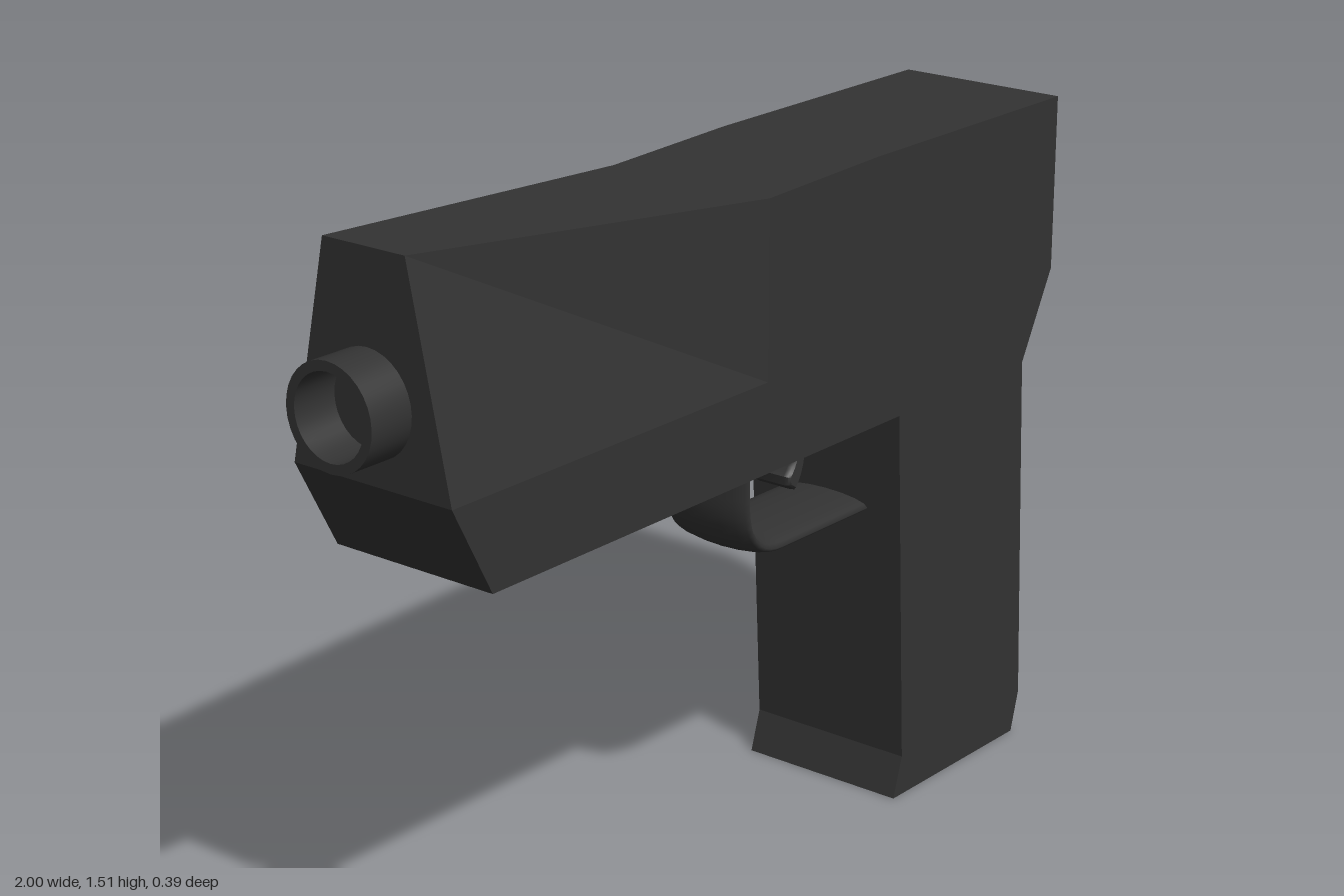
import * as THREE from 'three';
import { toCreasedNormals } from 'three/addons/utils/BufferGeometryUtils.js';

const HALF = 0.195; // half thickness of the body
const material = new THREE.MeshStandardMaterial({ color: 0x333333 });

function addPart(group, name, geometry) {
  const mesh = new THREE.Mesh(geometry, material);
  mesh.name = name;
  group.add(mesh);
  return mesh;
}

// Body outline, counter-clockwise; a third value narrows the body at that corner.
const outline = [
  [-0.9, 1.515, 0.1], [-0.9, 1.07], [-0.8, 0.88], [0.445, 0.88],
  [0.485, 0.09], [0.457, 0], [0.91, 0], [0.935, 0.09],
  [0.9, 0.88], [1, 1.07], [1, 1.45], [0.35, 1.45], [0, 1.44],
];
const taperCorner = [0, 1.07]; // point on each flank where the taper begins

function bodyGeometry() {
  const points = [...outline, taperCorner];
  const positions = [];
  const corner = (i, side) => [points[i][0], points[i][1], side * (points[i][2] ?? HALF)];
  const tri = (a, b, c) => positions.push(...a, ...b, ...c);

  // walls around the outline
  const n = outline.length;
  for (let i = 0; i < n; i++) {
    const j = (i + 1) % n;
    tri(corner(i, 1), corner(i, -1), corner(j, -1));
    tri(corner(i, 1), corner(j, -1), corner(j, 1));
  }

  // flat flank, then the two facets of the tapered nose
  const flank = points.slice(1).map(([x, y]) => new THREE.Vector2(x, y));
  const faces = THREE.ShapeUtils.triangulateShape(flank, []).map((f) => f.map((i) => i + 1));
  faces.push([0, 13, 12], [0, 1, 13]);
  for (const [a, b, c] of faces) {
    tri(corner(a, 1), corner(b, 1), corner(c, 1));
    tri(corner(c, -1), corner(b, -1), corner(a, -1));
  }

  const geometry = new THREE.BufferGeometry();
  geometry.setAttribute('position', new THREE.Float32BufferAttribute(positions, 3));
  geometry.computeVertexNormals();
  return geometry;
}

// Hollow barrel end, turned around the x axis
function barrelGeometry() {
  const profile = [[0.105, -0.06], [0.105, 0.05], [0.085, 0.05], [0.085, -0.06]]
    .map(([r, y]) => new THREE.Vector2(r, y));
  return toCreasedNormals(new THREE.LatheGeometry(profile, 32).rotateZ(Math.PI / 2), 0.6);
}

// Rounded band that leaves the frame and turns back to the grip
function guardGeometry() {
  const v = (x, y) => new THREE.Vector3(x, y, 0);
  const path = new THREE.CurvePath();
  path.add(new THREE.LineCurve3(v(0.055, 0.9), v(0.055, 0.78)));
  path.add(new THREE.CubicBezierCurve3(v(0.055, 0.78), v(0.055, 0.7), v(0.09, 0.655), v(0.17, 0.655)));
  path.add(new THREE.LineCurve3(v(0.17, 0.655), v(0.48, 0.653)));
  return new THREE.TubeGeometry(path, 32, 0.02, 16).scale(1, 1, 5.5);
}

// Curved lever, flaring where it meets the frame
function triggerGeometry() {
  const shape = new THREE.Shape();
  shape.moveTo(0.245, 0.89);
  shape.quadraticCurveTo(0.285, 0.87, 0.285, 0.83);
  shape.quadraticCurveTo(0.28, 0.79, 0.255, 0.765);
  shape.lineTo(0.258, 0.745);
  shape.lineTo(0.28, 0.73);
  shape.quadraticCurveTo(0.32, 0.77, 0.315, 0.85);
  shape.quadraticCurveTo(0.32, 0.87, 0.36, 0.89);
  const depth = 0.08;
  const geometry = new THREE.ExtrudeGeometry(shape, {
    depth, curveSegments: 6, bevelSize: 0.006, bevelThickness: 0.015, bevelOffset: -0.006, bevelSegments: 2,
  });
  return toCreasedNormals(geometry.translate(0, 0, -depth / 2), 0.8);
}

export function createModel() {
  const model = new THREE.Group();
  model.name = 'pistol';
  addPart(model, 'body', bodyGeometry());
  addPart(model, 'barrel', barrelGeometry()).position.set(-0.95, 1.225, 0);
  addPart(model, 'triggerGuard', guardGeometry());
  addPart(model, 'trigger', triggerGeometry());
  return model;
}
